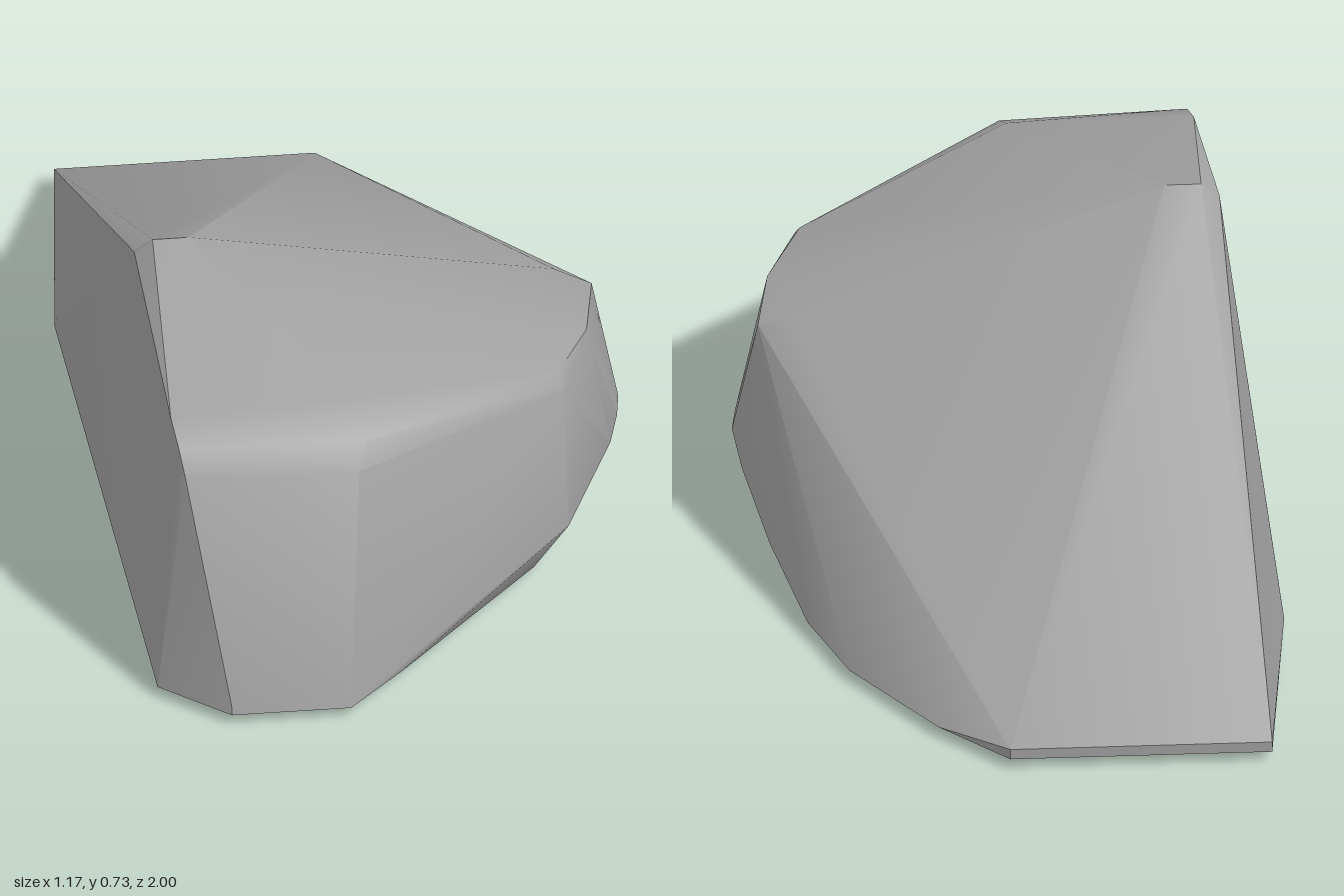
import * as THREE from 'three';
import { ConvexGeometry } from 'three/addons/geometries/ConvexGeometry.js';
import { toCreasedNormals } from 'three/addons/utils/BufferGeometryUtils.js';

// Corner rings of the boulder, each corner as [x, y, z]
const crown = [
  [-0.48, 0.70, 0.20], [-0.44, 0.73, 0.20], [-0.36, 0.73, 0.20],
  [0.45, 0.495, 0.08], [0.53, 0.465, 0.10], [0.50, 0.475, 0.28],
];
const frontShoulder = [
  [-0.45, 0.60, 0.68], [-0.04, 0.61, 0.66],
  [-0.44, 0.57, 0.76], [-0.03, 0.56, 0.75],
  [-0.43, 0.52, 0.80], [-0.05, 0.51, 0.795],
  [0.42, 0.49, 0.45], [0.43, 0.46, 0.475],
];
const waist = [
  [0.03, 0.04, 0.90], [0.43, 0.17, 0.58], [0.55, 0.18, 0.30],
  [0.575, 0.18, 0.20], [0.585, 0.18, 0.13], [0.57, 0.16, 0.00],
  [0.52, 0.09, -0.20], [0.45, 0.03, -0.43],
];
const foot = [
  [-0.53, 0.025, -1], [-0.53, 0.05, -1], [0.04, 0.025, -1], [0.04, 0.05, -1],
  [0.19, 0.025, -0.86], [0.37, 0.025, -0.62], [0.45, 0.02, -0.26],
  [0.50, 0.025, 0.15], [0.48, 0.025, 0.30], [0.36, 0.02, 0.52],
  [-0.09, 0.025, 1], [-0.10, 0.045, 0.995],
  [-0.35, 0.025, 1], [-0.35, 0.045, 0.995],
  [-0.50, 0.025, 0.88], [-0.495, 0.05, 0.875],
  [-0.585, 0.025, -0.46], [-0.58, 0.06, -0.45],
];
const base = [[0.20, 0, 0.00], [0.05, 0, 0.10], [0.15, 0, 0.20]];

export function createModel() {
  const stone = new THREE.MeshStandardMaterial({ color: 0xa0a0a0 });
  stone.name = 'grey stone';

  // One solid hull, soft over the bevels and sharp between the large faces
  const points = [...crown, ...frontShoulder, ...waist, ...foot, ...base]
    .map((p) => new THREE.Vector3(...p));
  const hull = toCreasedNormals(new ConvexGeometry(points), 0.6);

  const boulder = new THREE.Mesh(hull, stone);
  boulder.name = 'boulder';

  const model = new THREE.Group();
  model.name = 'rock';
  model.add(boulder);
  return model;
}
